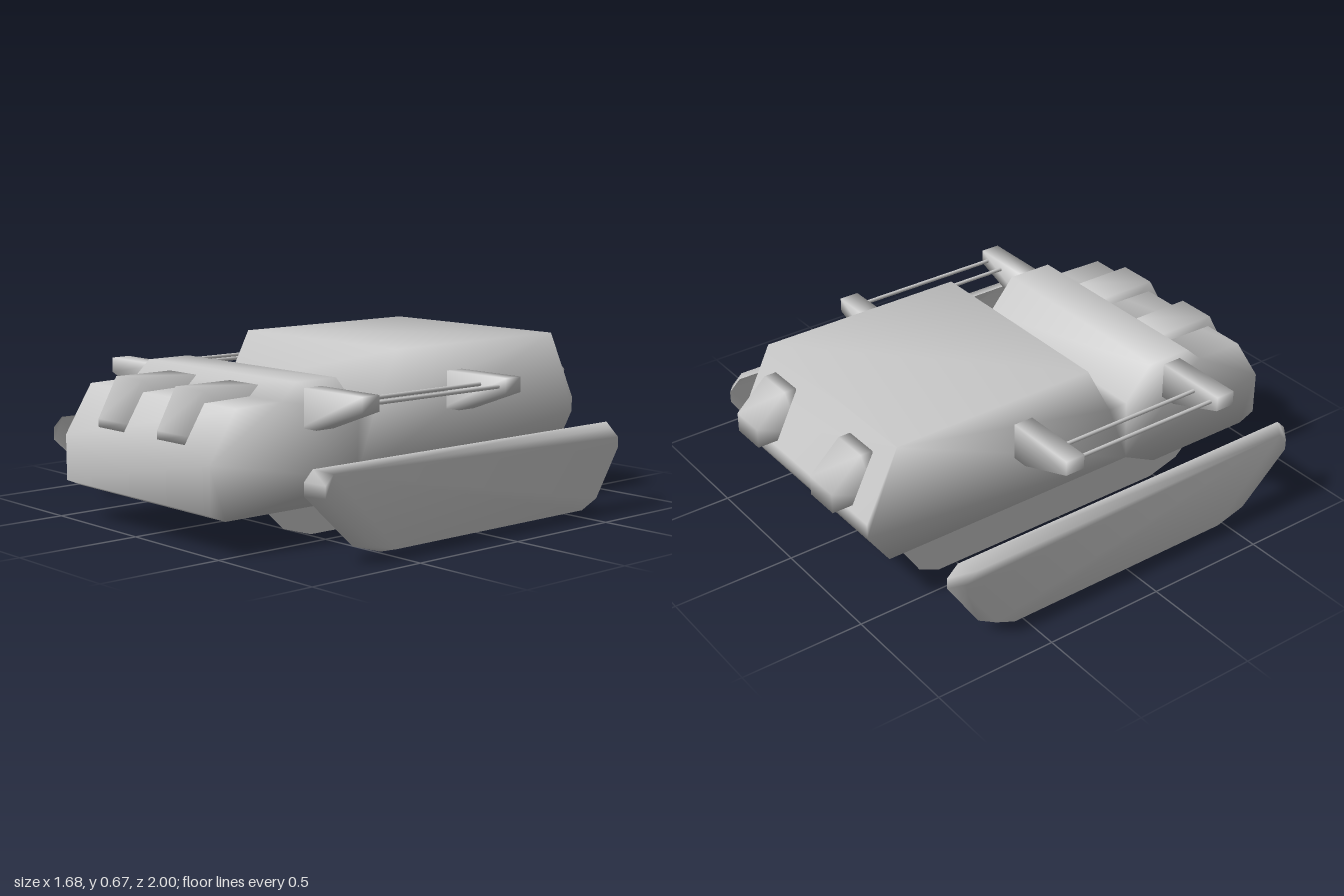
import * as THREE from 'three';
import { mergeVertices } from 'three/addons/utils/BufferGeometryUtils.js';

const mat = new THREE.MeshStandardMaterial({ color: 0xcccccc });
const thinMat = new THREE.MeshStandardMaterial({ color: 0xcccccc, side: THREE.DoubleSide });

// Share corners so that the shading runs smoothly over the edges
function smooth(geo) {
  geo.deleteAttribute('normal');
  geo.deleteAttribute('uv');
  const merged = mergeVertices(geo, 1e-4);
  merged.computeVertexNormals();
  return merged;
}

const shapeOf = pts => new THREE.Shape(pts.map(([a, b]) => new THREE.Vector2(a, b)));
// Side profile [z, y] as a shape that faces +x after a quarter turn
const sideShape = pts => shapeOf(pts.map(([z, y]) => [-z, y]));

// Side profile [z, y] extruded from x0 to x1
function sideExtrude(pts, x0, x1) {
  const geo = new THREE.ExtrudeGeometry(sideShape(pts), { depth: x1 - x0, bevelEnabled: false });
  return smooth(geo.rotateY(Math.PI / 2).translate(x0, 0, 0));
}

const hullProfile = [
  [1, 0.15], [1, 0.33], [0.88, 0.52], [0.67, 0.525], [0.6, 0.59], [0.405, 0.59],
  [0.29, 0.455], [0.205, 0.455], [0.09, 0.67], [-0.785, 0.67], [-0.925, 0.39],
  [-0.925, 0.33], [-0.835, 0.195], [0.3, 0.195], [0.45, 0.12], [0.93, 0.12],
];
const frontPodProfile = [[0.97, 0.375], [0.97, 0.41], [0.885, 0.565], [0.63, 0.565], [0.63, 0.375]];
const rearPodProfile = [[-0.82, 0.61], [-0.87, 0.61], [-1, 0.49], [-1, 0.41], [-0.82, 0.41]];
const skidProfile = [
  [0.805, 0.34], [0.845, 0.3], [0.845, 0.25], [0.62, 0.04], [0.485, 0],
  [-0.58, 0], [-0.67, 0.04], [-0.805, 0.25], [-0.805, 0.295], [-0.757, 0.34],
];

// Shallow shell: a wide rim on the inside tapering to a smaller outer face
function skidGeometry(s) {
  const n = skidProfile.length;
  const pos = [], index = [];
  skidProfile.forEach(([z, y]) => pos.push(s * 0.78, y, z));
  skidProfile.forEach(([z, y]) => pos.push(s * 0.84, 0.175 + (y - 0.175) * 0.91, 0.02 + (z - 0.02) * 0.945));
  const tri = (a, b, c) => (s > 0 ? index.push(a, b, c) : index.push(a, c, b));
  for (let i = 0; i < n; i++) {
    const j = (i + 1) % n;
    tri(i, j, n + j);
    tri(i, n + j, n + i);
    if (i > 0 && i < n - 1) tri(n, n + i, n + i + 1);
  }
  const geo = new THREE.BufferGeometry();
  geo.setAttribute('position', new THREE.Float32BufferAttribute(pos, 3));
  geo.setIndex(index);
  geo.computeVertexNormals();
  return geo;
}

export function createModel() {
  const model = new THREE.Group();
  model.name = 'hoverTank';
  const add = (name, geo, material = mat) => {
    const mesh = new THREE.Mesh(geo, material);
    mesh.name = name;
    model.add(mesh);
    return mesh;
  };

  add('hull', sideExtrude(hullProfile, -0.452, 0.452));

  for (const s of [1, -1]) {
    const side = s > 0 ? 'left' : 'right';

    // Lamp pods on the nose and tail
    add(side + 'FrontPod', sideExtrude(frontPodProfile, s * 0.188 - 0.083, s * 0.188 + 0.083));
    add(side + 'RearPod', sideExtrude(rearPodProfile, s * 0.267 - 0.075, s * 0.267 + 0.075));

    // Outer skid and the flat inner plate under the hull
    add(side + 'Skid', skidGeometry(s), thinMat);
    const plate = new THREE.ShapeGeometry(sideShape(skidProfile)).rotateY(Math.PI / 2);
    add(side + 'InnerPlate', plate.translate(s * 0.4, 0, 0), thinMat);

    // Tapered brackets, front and rear
    for (const [end, z] of [['Front', 0.478], ['Rear', -0.26]]) {
      const arm = shapeOf([[0.43, 0.415], [0.52, 0.415], [0.765, 0.505], [0.765, 0.565], [0.43, 0.565]]
        .map(([x, y]) => [s * x, y]));
      const geo = new THREE.ExtrudeGeometry(arm, { depth: 0.083, bevelEnabled: false });
      add(side + end + 'Bracket', smooth(geo.translate(0, 0, z)));
    }

    // Rods between the brackets
    for (const x of [0.63, 0.727]) {
      const rod = new THREE.CylinderGeometry(0.008, 0.008, 0.68, 8).rotateX(Math.PI / 2);
      add(side + 'Rod', rod.translate(s * x, 0.53, 0.15));
    }
  }
  return model;
}
